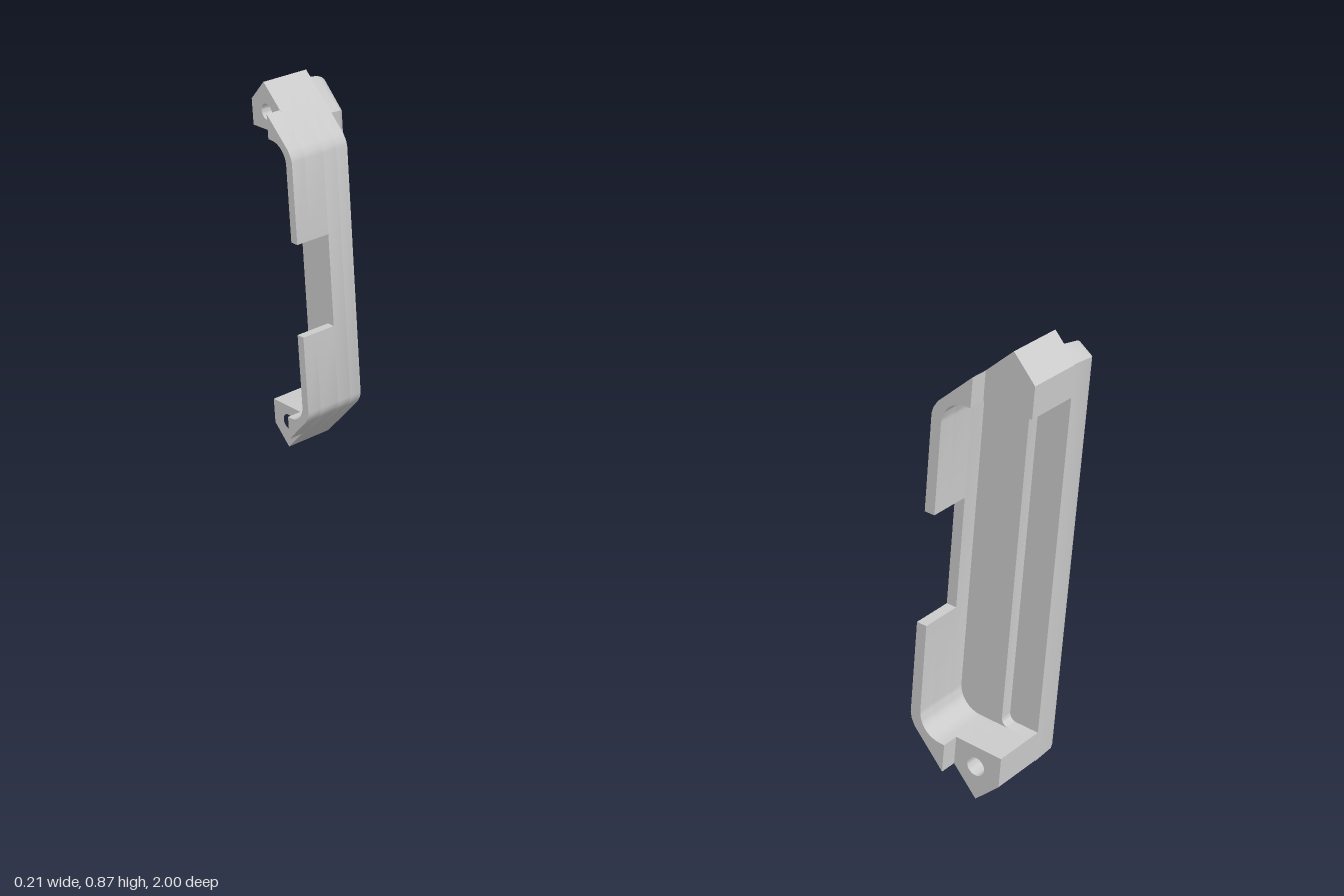
import * as THREE from 'three';
import { toCreasedNormals } from 'three/addons/utils/BufferGeometryUtils.js';

const material = new THREE.MeshStandardMaterial({ color: 0xcccccc });
const MID = 0.4335; // half height of a bracket
const WALL = 0.3275; // half height of the cavity
const CUT = 0.1085; // half height of the notch

// Upper half of the outer outline as [z, y], y measured from mid height
const slope = [[0.83, 0.293], [0.833, 0.305], [0.841, 0.3185]];
const outer = [...slope, [0.949, 0.4275], [0.955, MID], [0.961, 0.4275], [1, 0.3865]];
const tabOuter = [...slope, [0.905, 0.383]];

// Outline plus cavity end with a rounded inner corner
function upperChain(outline, floor, r) {
  const chain = [...outline, [outline[outline.length - 1][0], WALL]];
  for (let i = 0; i <= 8; i++) {
    const a = (i / 8) * Math.PI / 2;
    chain.push([floor + r - r * Math.sin(a), WALL - r + r * Math.cos(a)]);
  }
  return chain;
}

const flip = (pts) => pts.map(([z, y]) => [z, -y]);
const whole = (chain) => [...chain, ...flip(chain).reverse()];
const half = (chain, floor) => [[0.83, CUT], ...chain, [floor, CUT]];

// Extrude a z-y profile between two x positions
function slab(name, pts, x0, x1, hole) {
  const shape = new THREE.Shape(pts.map(([z, y]) => new THREE.Vector2(z, y)));
  if (hole) shape.holes.push(new THREE.Path().absarc(hole[0], hole[1], 0.018, 0, Math.PI * 2, true));
  const geo = new THREE.ExtrudeGeometry(shape, { depth: x1 - x0, bevelEnabled: false, curveSegments: 10 });
  geo.rotateY(-Math.PI / 2).translate(x1, 0, 0);
  const mesh = new THREE.Mesh(toCreasedNormals(geo, 0.6), material);
  mesh.name = name;
  return mesh;
}

// Tapered side cap with a rounded rim, lofted along x
function sideCap() {
  // x, outer z, inner z, inset of the height
  const rings = [[0.04, 1, 0.9, 0], [0.088, 1, 0.905, 0.008], [0.098, 0.996, 0.909, 0.013],
    [0.103, 0.991, 0.914, 0.018], [0.105, 0.984, 0.921, 0.026]];
  const loops = rings.map(([x, zo, zi, d]) => {
    const top = [[zo, 0.388 - d / 2], [zo - 0.3 * (zo - zi), 0.413 - d], [zi, 0.346 - d / 2]];
    return [...top, ...flip(top).reverse()].map(([z, y]) => [x, y, z]);
  });
  const pos = [];
  for (let k = 0; k + 1 < loops.length; k++) {
    const a = loops[k], b = loops[k + 1];
    for (let i = 0; i < 6; i++) {
      const j = (i + 1) % 6;
      pos.push(...a[i], ...b[i], ...a[j], ...b[i], ...b[j], ...a[j]);
    }
  }
  const end = loops[loops.length - 1];
  for (let i = 1; i < 5; i++) pos.push(...end[0], ...end[i + 1], ...end[i]);
  const geo = new THREE.BufferGeometry();
  geo.setAttribute('position', new THREE.Float32BufferAttribute(pos, 3));
  const mesh = new THREE.Mesh(toCreasedNormals(geo, 0.6), material);
  mesh.name = 'sideCap';
  return mesh;
}

function bracket(name) {
  const g = new THREE.Group();
  g.name = name;
  const deep = upperChain(outer, 0.85, 0.045);
  const shallow = upperChain(outer, 0.94, 0.015);
  const tab = half(upperChain(tabOuter, 0.85, 0.045), 0.85);
  // Closed side plate, stepped ledge and channel
  g.add(slab('sidePlate', [...outer, ...flip(outer).reverse()], 0.04, 0.045));
  g.add(slab('ledge', whole(shallow), 0.015, 0.04));
  g.add(slab('channel', whole(deep), -0.02, 0.015));
  // Arms above and below the notch, with screw holes and end tabs
  for (const [side, mirror] of [['upper', (p) => p], ['lower', flip]]) {
    const s = side === 'upper' ? 1 : -1;
    g.add(slab(side + 'Arm', mirror(half(deep, 0.85)), -0.07, -0.02, [0.95, s * 0.368]));
    g.add(slab(side + 'Tab', mirror(tab), -0.105, -0.07));
  }
  g.add(sideCap());
  g.position.y = MID;
  return g;
}

export function createModel() {
  const model = new THREE.Group();
  model.name = 'bracketPair';
  const front = bracket('frontBracket');
  const back = bracket('backBracket');
  back.rotation.x = Math.PI; // symmetric in height, so a half turn mirrors it
  model.add(front, back);
  return model;
}
